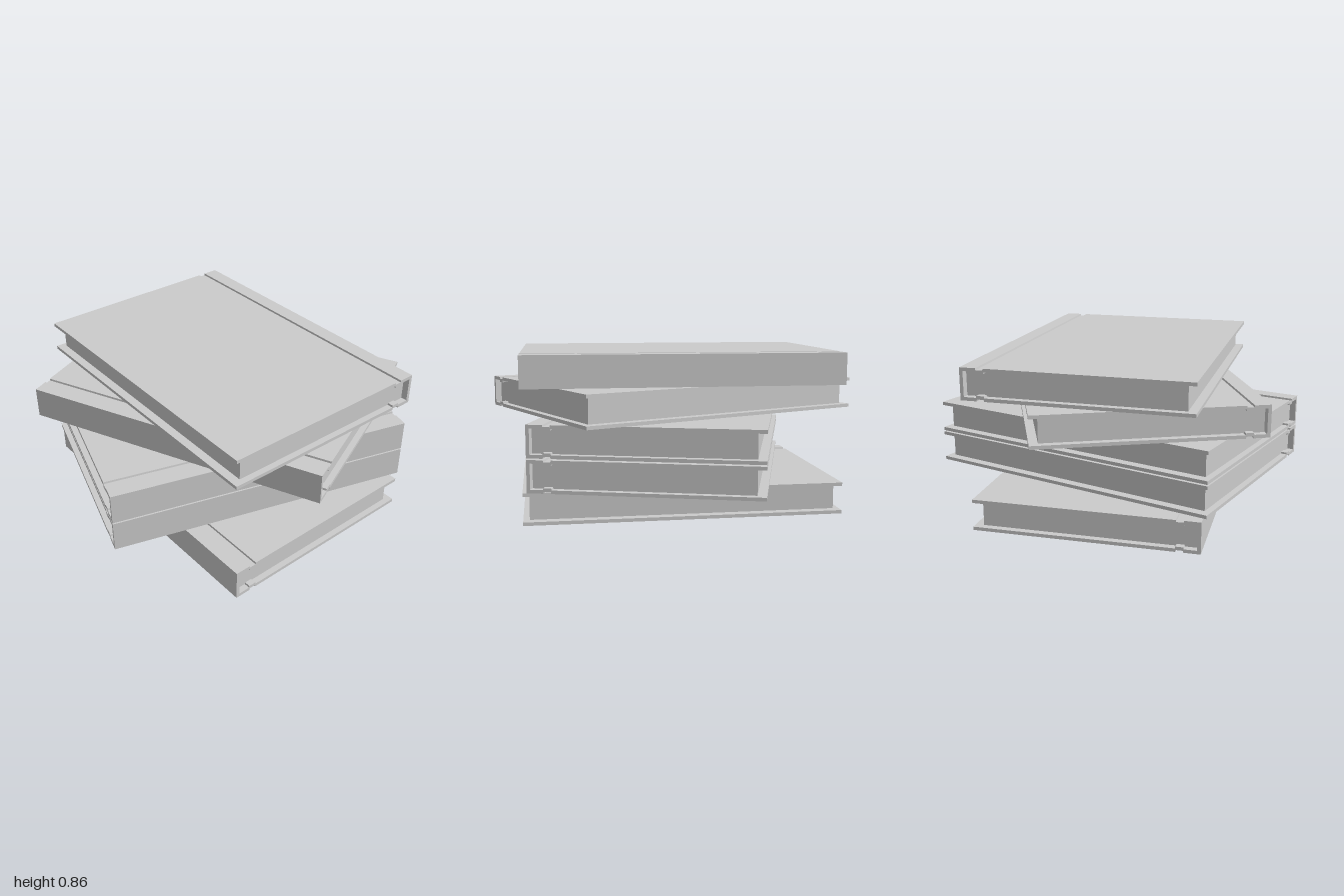
import * as THREE from 'three';

const W = 1.178, L = 1.665, H = 0.167; // closed book: width, length, height
const T = 0.018;                       // board thickness
const GROOVE = { start: 0.085, end: 0.125, depth: 0.01 };

const material = new THREE.MeshStandardMaterial({ color: 0xcccccc });

// C-shaped cover section: spine at -x, a hinge groove pressed into both boards
function coverGeometry() {
  const x0 = -W / 2, x1 = W / 2, m = H / 2;
  const a = x0 + GROOVE.start, b = x0 + GROOVE.end, d = GROOVE.depth, s = 0.002;
  // upper half, from the outer spine corner round to the inner spine corner
  const upper = [
    [x0, m], [a, m], [a + s, m - d], [b - s, m - d], [b, m], [x1, m],
    [x1, m - T], [b + s, m - T], [b, m - T - d], [a, m - T - d], [a - s, m - T], [x0 + T, m - T],
  ];
  const lower = upper.map(([x, y]) => [x, -y]).reverse();
  const shape = new THREE.Shape([...upper, ...lower].map(([x, y]) => new THREE.Vector2(x, y)));
  return new THREE.ExtrudeGeometry(shape, { depth: L, bevelEnabled: false }).translate(0, 0, -L / 2);
}

// Page block, set back from the cover on three sides
function pagesGeometry() {
  const left = -W / 2 + T + 0.004, right = W / 2 - 0.045;
  return new THREE.BoxGeometry(right - left, H - 2 * T - 0.002, L - 0.065)
    .translate((left + right) / 2, 0, 0);
}

export function createModel() {
  const stack = new THREE.Group();
  stack.name = 'bookStack';
  const cover = coverGeometry(), pages = pagesGeometry();

  // Books from bottom to top: centre x, base height, centre z, turn
  const books = [
    [-0.01, 0, 0, 0],
    [0, 0.177, 0, 1.268],
    [0, 0.352, 0, 1.268],
    [-0.01, 0.521, -0.003, 0.41],
    [0.01, 0.688, -0.005, Math.PI - 0.018],
  ];
  books.forEach(([x, y, z, turn], i) => {
    const book = new THREE.Group();
    book.name = `book${i + 1}`;
    for (const [name, geometry] of [['cover', cover], ['pages', pages]]) {
      const mesh = new THREE.Mesh(geometry, material);
      mesh.name = name;
      book.add(mesh);
    }
    book.position.set(x, y + H / 2, z);
    book.rotation.y = turn;
    stack.add(book);
  });
  return stack;
}
